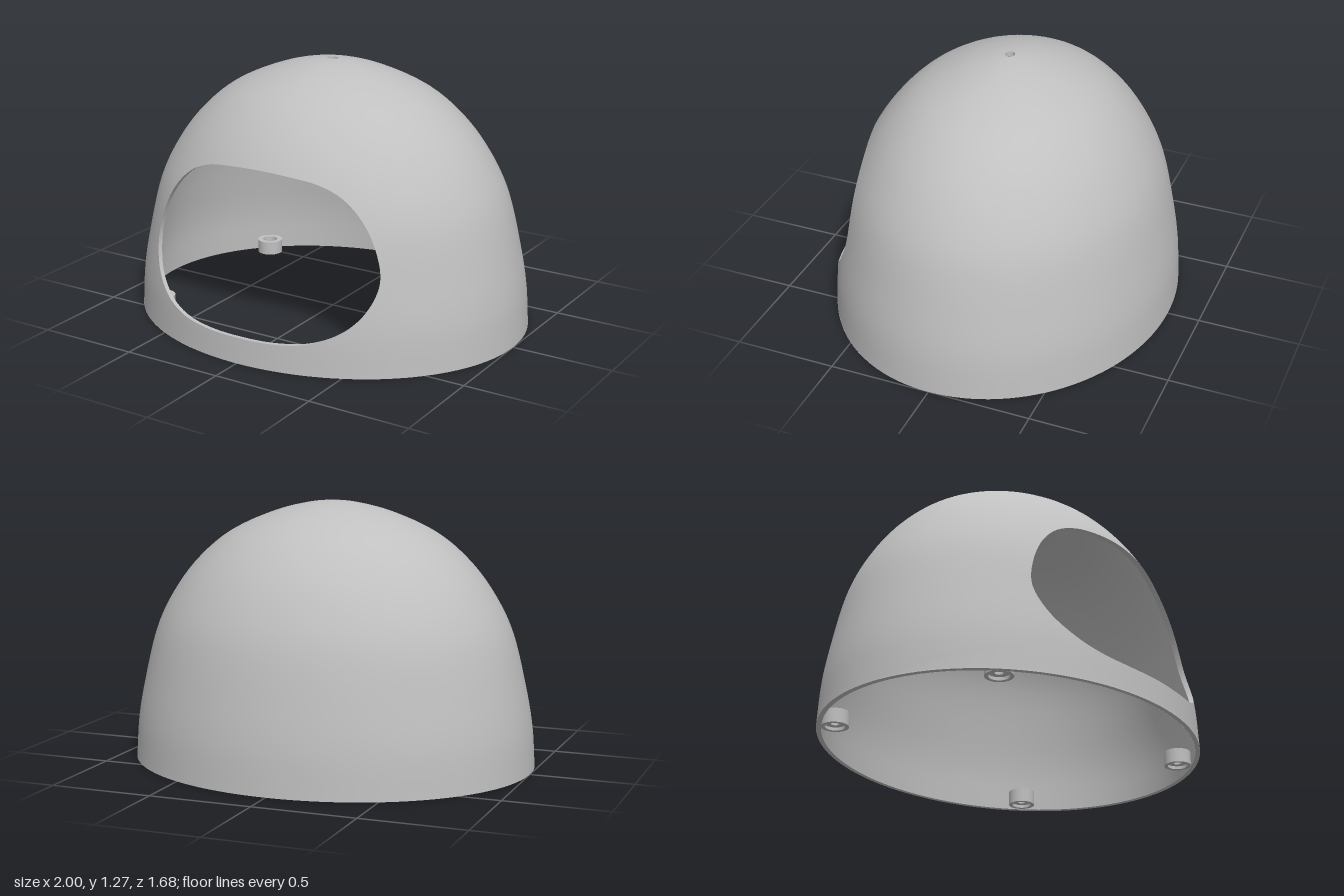
import * as THREE from 'three';
import { mergeGeometries, mergeVertices } from 'three/addons/utils/BufferGeometryUtils.js';

const DEPTH = 0.84;          // front-to-back squash of the dome
const N = 160, RINGS = 24;   // samples around the opening, rings out to the patch edge

const spline = (pts, closed = false) =>
  new THREE.CatmullRomCurve3(pts.map(([x, y]) => new THREE.Vector3(x, y, 0)), closed, 'centripetal');

// dome profiles (radius, height), from base to apex hole
const OUTER = [[1, 0], [0.985, 0.2], [0.95, 0.39], [0.883, 0.65], [0.805, 0.81], [0.69, 0.967],
  [0.525, 1.11], [0.29, 1.218], [0.12, 1.261], [0.027, 1.272]];
const INNER = OUTER.map(([r, y], i) => [i === OUTER.length - 1 ? r : r * 0.975, y * 0.98]);

// half of the opening outline (x, y), mirrored to a closed loop
const HALF = [[0, 0.126], [0.2, 0.13], [0.35, 0.15], [0.47, 0.2], [0.57, 0.295], [0.617, 0.43],
  [0.59, 0.57], [0.52, 0.7], [0.417, 0.797], [0.3, 0.848], [0.15, 0.87], [0, 0.877]];
const opening = spline([...HALF, ...HALF.slice(1, -1).reverse().map(([x, y]) => [-x, y])], true);
const holePoints = Array.from({ length: N }, (_, i) => opening.getPointAt(i / N));

// grid surface from f(u, v)
function grid(f, nu, nv, flip = false) {
  const pos = [], idx = [];
  for (let i = 0; i <= nu; i++)
    for (let j = 0; j <= nv; j++) pos.push(...f(i / nu, j / nv));
  for (let i = 0; i < nu; i++)
    for (let j = 0; j < nv; j++) {
      const a = i * (nv + 1) + j, b = a + 1, c = a + nv + 1, d = c + 1;
      if (flip) idx.push(a, c, b, b, c, d);
      else idx.push(a, b, c, b, d, c);
    }
  const g = new THREE.BufferGeometry();
  g.setAttribute('position', new THREE.Float32BufferAttribute(pos, 3));
  g.setIndex(idx);
  return g;
}

// dome skin: ring patch around the opening at the front, plain grid at the back
function skin(points, flip) {
  const profile = spline(points);
  const at = (u, v) => {
    const p = profile.getPoint(v);
    return [p.x * Math.sin(u), p.y, DEPTH * p.x * Math.cos(u)];
  };
  const toUV = ({ x, y }) => {
    let lo = 0, hi = 1;
    for (let k = 0; k < 30; k++) {
      const m = (lo + hi) / 2;
      if (profile.getPoint(m).y < y) lo = m; else hi = m;
    }
    return [Math.asin(x / profile.getPoint(lo).x), lo];
  };
  const hole = holePoints.map(toUV);
  const Q = Math.PI / 2;
  const corners = [[0, 0], [Q, 0], [Q, 0.5], [Q, 1], [0, 1], [-Q, 1], [-Q, 0.5], [-Q, 0], [0, 0]];
  const edge = (t) => {
    const s = Math.min(Math.floor(t * 8 + 1e-9), 7), f = t * 8 - s;
    return [0, 1].map((k) => corners[s][k] + (corners[s + 1][k] - corners[s][k]) * f);
  };
  const front = grid((t, w) => {
    const h = hole[Math.round(t * N) % N], e = edge(t);
    return at(h[0] + (e[0] - h[0]) * w, h[1] + (e[1] - h[1]) * w);
  }, N, RINGS, flip);
  const back = grid((u, v) => at(Q + Math.PI * u, 1 - v), 64, N / 4, flip);
  const geometry = mergeVertices(mergeGeometries([front, back]), 1e-4);
  geometry.computeVertexNormals();
  const rim = hole.map(([u, v]) => at(u, v));
  return { geometry, rim };
}

export function createModel() {
  const model = new THREE.Group();
  model.name = 'domeShelter';
  const grey = new THREE.MeshStandardMaterial({ color: 0xc0c0c0, side: THREE.DoubleSide });
  grey.name = 'grey';
  const add = (name, geometry) => {
    const mesh = new THREE.Mesh(geometry, grey);
    mesh.name = name;
    model.add(mesh);
    return mesh;
  };

  // thin dome shell
  const outer = skin(OUTER, false), inner = skin(INNER, true);
  add('outerShell', outer.geometry);
  add('innerShell', inner.geometry);

  // wall thickness around the front opening
  const rim = grid((t, w) => (w ? inner : outer).rim[Math.round(t * N) % N], N, 1, true);
  rim.computeVertexNormals();
  add('openingRim', rim);

  // flat base edge
  const base = new THREE.RingGeometry(0.975, 1, 128).rotateX(Math.PI / 2).scale(1, 1, DEPTH);
  add('baseEdge', base);

  // small hole through the apex
  const bore = new THREE.CylinderGeometry(0.027, 0.027, 0.026, 32, 1, true).scale(1, 1, DEPTH);
  add('apexHole', bore).position.y = 1.259;

  // four screw bosses inside the base, recessed at both ends
  const section = [[0.02, 0.018], [0.047, 0.018], [0.047, 0.003], [0.065, 0.003], [0.065, 0.072],
    [0.038, 0.072], [0.038, 0.045], [0.02, 0.045], [0.02, 0.018]];
  const parts = section.slice(1).map((p, i) =>
    new THREE.LatheGeometry([section[i], p].map(([x, y]) => new THREE.Vector2(x, y)), 32));
  const boss = mergeGeometries(parts);
  for (const sx of [-1, 1])
    for (const sz of [-1, 1])
      add('screwBoss', boss).position.set(sx * 0.703, 0, sz * 0.48);

  return model;
}
